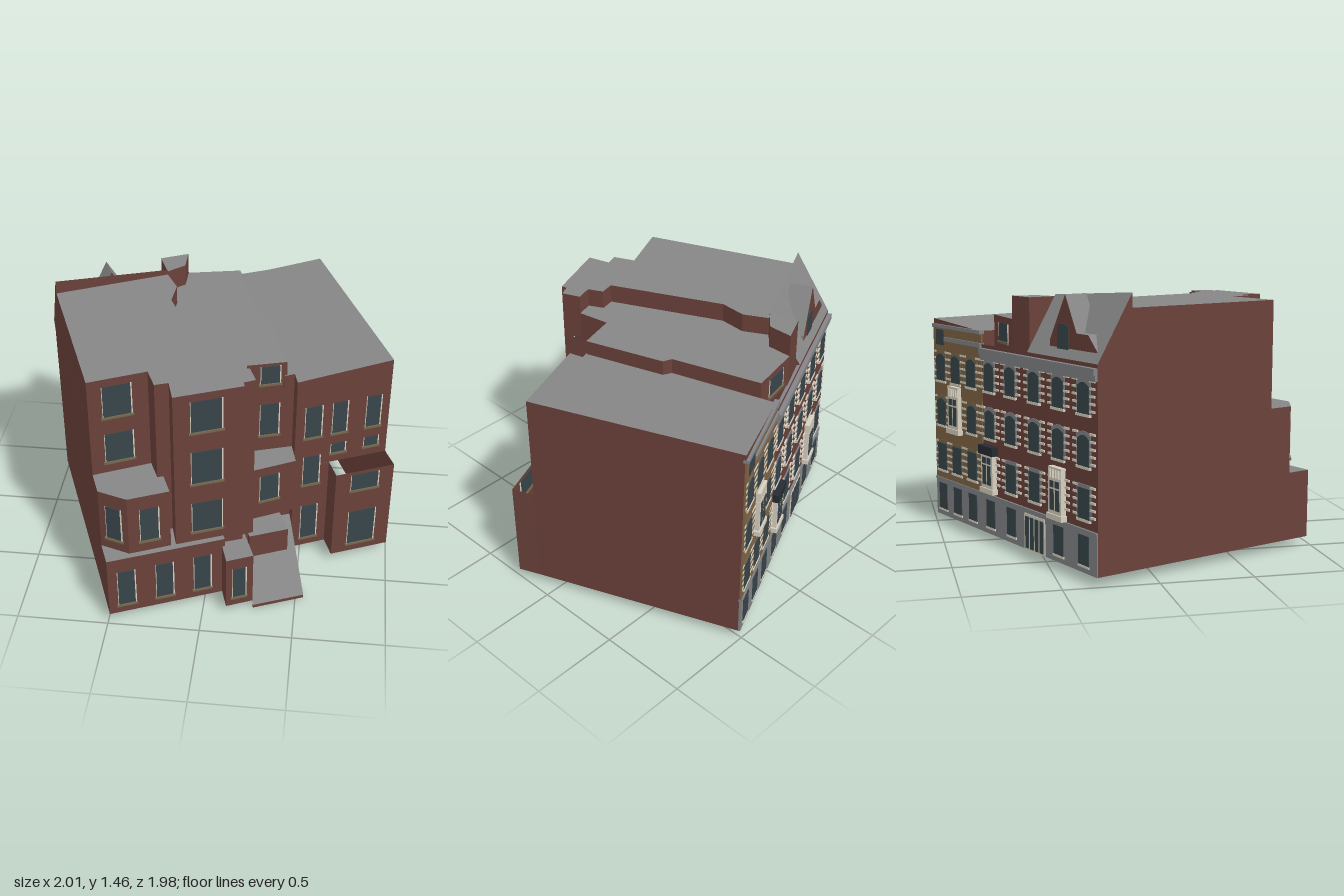
import * as THREE from 'three';

const mat = (name, color, side = THREE.FrontSide) => Object.assign(new THREE.MeshStandardMaterial({ color, side }), { name });
const M = {
  brick: mat('brick', 0x6b413a, THREE.DoubleSide),
  roof: mat('roof grey', 0x868686, THREE.DoubleSide),
  glass: mat('window glass', 0x38454a),
  cream: mat('cream trim', 0xd6d0bf),
  sill: mat('sill tan', 0x75684e),
  ochre: mat('ochre brick', 0x806545),
  stone: mat('grey stone', 0x828487),
  dark: mat('dark trim', 0x262c31),
};

export function createModel() {
  const root = new THREE.Group();
  root.name = 'building';

  const add = (parent, name, geo, material, x = 0, y = 0, z = 0) => {
    const m = new THREE.Mesh(geo, material);
    m.name = name;
    m.position.set(x, y, z);
    parent.add(m);
    return m;
  };

  // Hollow block on an [x, z] footprint: brick walls, no floor, grey roof of constant or varying height
  function prism(name, pts, y0, top, open = false) {
    let loop = pts.map(([x, z]) => new THREE.Vector2(x, -z));
    if (THREE.ShapeUtils.isClockWise(loop)) loop = loop.reverse();
    const h = typeof top === 'function' ? top : () => top;
    const lo = loop.map(v => [v.x, y0, -v.y]);
    const hi = loop.map(v => [v.x, h(v.x, -v.y), -v.y]);
    const pos = [];
    const tri = (...t) => t.forEach(v => pos.push(...v));
    loop.forEach((_, i) => {
      const j = (i + 1) % loop.length;
      tri(lo[i], lo[j], hi[j], lo[i], hi[j], hi[i]);
    });
    const walls = pos.length / 3;
    if (!open) THREE.ShapeUtils.triangulateShape(loop, []).forEach(([a, b, c]) => tri(hi[a], hi[b], hi[c]));
    const g = new THREE.BufferGeometry();
    g.setAttribute('position', new THREE.Float32BufferAttribute(pos, 3));
    g.addGroup(0, walls, 0);
    g.addGroup(walls, pos.length / 3 - walls, 1);
    g.computeVertexNormals();
    return add(root, name, g, [M.brick, M.roof]);
  }

  // Flat four-cornered face
  function quad(name, a, b, c, d, material) {
    const g = new THREE.BufferGeometry();
    g.setAttribute('position', new THREE.Float32BufferAttribute([a, b, c, a, c, d].flat(), 3));
    g.computeVertexNormals();
    return add(root, name, g, material);
  }

  // Local frame on a wall from p (left, seen from outside) to q (right); local z points outwards
  function wall(name, p, q) {
    const g = new THREE.Group();
    const dx = q[0] - p[0], dz = q[1] - p[1];
    g.name = name;
    g.position.set(p[0], 0, p[1]);
    g.rotation.y = Math.atan2(-dz, dx);
    root.add(g);
    const len = Math.hypot(dx, dz);
    return { g, len, u: x => (x - p[0]) / dx * len };
  }
  const plate = (g, name, u0, u1, y0, y1, depth, m, z = 0) =>
    add(g, name, new THREE.BoxGeometry(u1 - u0, y1 - y0, depth), m, (u0 + u1) / 2, (y0 + y1) / 2, z);

  // Plain sash windows, given by x range on the wall and a list of y ranges
  function windows(w, x0, x1, rows) {
    const [a, b] = [w.u(x0), w.u(x1)];
    for (const [y0, y1] of rows) {
      plate(w.g, 'windowGlass', a, b, y0, y1, 0.008, M.glass);
      plate(w.g, 'windowJamb', b, b + 0.007, y0, y1, 0.009, M.cream);
      plate(w.g, 'windowJamb', a - 0.003, a, y0, y1, 0.009, M.cream);
      plate(w.g, 'windowSill', a - 0.012, b + 0.012, y0 - 0.013, y0, 0.022, M.sill);
    }
  }

  // Main shell, one ring of walls per level as the lower parts step out
  const A = [-1, -0.32], B = [0.51, -0.99];
  const front = [[-0.59, 0.72], [-0.30, 0.585], [-0.25, 0.70], [-0.18, 0.675], [-0.145, 0.80],
    [0.20, 0.66], [0.19, 0.63], [0.25, 0.60]];
  const lowFoot = [[-0.59, 0.72], [-0.49, 0.98], [0.11, 0.73], [0.097, 0.70]];
  const bayFoot = [[-0.59, 0.72], [-0.54, 0.85], [-0.38, 0.90], [-0.17, 0.81], [-0.22, 0.687]];
  const recess = [[0.18, 0.33], [0.43, 0.25], [0.45, 0.33]];
  const extension = [[0.64, 0.247], [0.685, 0.365], [1, 0.23]];
  const lowLeft = [...lowFoot, ...front.slice(5)], bayLeft = [...bayFoot, ...front.slice(3)];
  [[0.05, 0.43, lowLeft, extension], [0.43, 0.625, bayLeft, extension], [0.625, 0.8, bayLeft, []], [0.8, 1.12, front, []]]
    .forEach(([y0, y1, left, ext]) => prism('shellWalls', [A, ...left, ...recess, ...ext, [0.95, 0.11], B], y0, y1, true));
  prism('lowRoof', [...lowFoot, [0.06, 0.6]], 0.425, 0.43);
  prism('bayRoof', [...bayFoot, [-0.27, 0.56]], 0.795, 0.8);

  // Upper masses at their different roof heights
  const seam = [[0.12, 0.53], [0.08, 0.45], [0, 0.47], [-0.28, -0.13], [-0.27, -0.28], [-0.34, -0.41]];
  prism('leftUpper', [[-0.925, -0.13], ...front, [0.21, 0.5], ...seam], 1.12, 1.385);
  prism('middleUpper', [...seam, [-0.25, -0.63], [0.05, -0.69], [0.2, -0.2], [0.25, -0.18], [0.39, 0.26],
    [0.18, 0.32], [0.21, 0.5]], 1.1, 1.28);
  prism('rightUpper', [B, [0.95, 0.11], [0.45, 0.33], [0.43, 0.25], [0.38, 0.27], [0.25, -0.18], [0.2, -0.2], [0.03, -0.777]],
    1.12, (x, z) => 1.2 + 0.0633 * (x - 0.45) - 0.016 * (z - 0.33));
  prism('chimneyBlock', [[-0.40, -0.56], [-0.25, -0.63], [-0.25, -0.49], [-0.34, -0.41]], 1.1, 1.405);

  // Porch, entry and ramp
  prism('porch', [[0.08, 0.68], [0.13, 0.85], [0.27, 0.79], [0.2, 0.6]], 0.05, 0.38);
  prism('entryBay', [[0.18, 0.33], [0.22, 0.5], [0.46, 0.38], [0.43, 0.25]], 0.38, 0.72);
  prism('entryLanding', [[0.18, 0.48], [0.235, 0.64], [0.44, 0.555], [0.385, 0.42]], 0.22, 0.38);
  quad('entryRamp', [0.275, 0.02, 0.795], [0.545, 0.02, 0.685], [0.44, 0.385, 0.43], [0.17, 0.385, 0.54], M.roof);
  prism('rampFoot', [[0.275, 0.795], [0.545, 0.685], [0.54, 0.675], [0.27, 0.785]], 0, 0.02);

  // Mansard at the back of the left part
  const r0 = [-0.925, 1.46, -0.13], r1 = [-0.34, 1.415, -0.41], e0 = [A[0], 1.12, A[1]], e1 = [-0.42, 1.12, -0.577];
  const f0 = [-0.925, 1.12, -0.13], f1 = [-0.34, 1.12, -0.41];
  quad('mansardSlope', e0, r0, r1, e1, M.roof);
  quad('mansardParapet', f0, f1, r1, r0, M.brick);
  quad('mansardEnd', e0, f0, r0, r0, M.brick);
  quad('mansardEnd', f1, e1, r1, r1, M.brick);

  // Front windows
  const high = [0.825, 1.025], top = [1.155, 1.34], mid = [0.5, 0.69], low = [0.11, 0.34];
  windows(wall('leftFront', front[0], front[1]), -0.52, -0.385, [[0.87, 1.045], top]);
  windows(wall('middleFront', front[4], front[5]), -0.06, 0.09, [mid, high, top]);
  windows(wall('recessFront', [0.18, 0.33], [0.43, 0.25]), 0.255, 0.352, [high, [1.16, 1.265]]);
  windows(wall('entryBayFront', [0.22, 0.5], [0.46, 0.38]), 0.275, 0.37, [[0.5, 0.665]]);
  windows(wall('porchFront', [0.13, 0.85], [0.27, 0.79]), 0.165, 0.23, [[0.11, 0.31]]);
  windows(wall('bayCheek', bayFoot[1], bayFoot[2]), -0.5, -0.42, [[0.505, 0.715]]);
  windows(wall('bayFront', bayFoot[2], bayFoot[3]), -0.32, -0.23, [[0.505, 0.715]]);
  const lowFront = wall('lowFront', lowFoot[1], lowFoot[2]);
  [-0.44, -0.245, -0.05].forEach(x => windows(lowFront, x, x + 0.085, [low]));
  const wingFront = wall('wingFront', [0.45, 0.33], [0.95, 0.11]);
  windows(wingFront, 0.5, 0.585, [low, mid, high]);
  [0.645, 0.825].forEach(x => windows(wingFront, x, x + 0.075, [[0.69, 0.75], high]));
  windows(wall('extensionFront', extension[1], extension[2]), 0.77, 0.915, [low, [0.5, 0.605]]);
  windows(wall('middleBack', [0.05, -0.69], [-0.25, -0.63]), -0.04, -0.18, [[1.145, 1.245]]);

  // Ornate street facade along the back
  const F = wall('streetFacade', B, A), g = F.g, L = F.len, split = 0.55;
  plate(g, 'stoneBase', 0, L, 0.05, 0.265, 0.012, M.stone);
  plate(g, 'ochreFront', 0, split, 0.265, 1.18, 0.01, M.ochre);
  plate(g, 'eave', 0, split, 1.175, 1.195, 0.03, M.stone);
  plate(g, 'ochreCornice', 0.14, split, 1.1, 1.125, 0.03, M.stone);
  plate(g, 'cornice', split, L, 1.065, 1.1, 0.05, M.stone);
  plate(g, 'corniceBand', split, L, 1.035, 1.065, 0.03, M.stone);
  plate(g, 'stringCourse', 0, L, 0.262, 0.278, 0.022, M.stone);

  // Shape of an opening, with an optional curved head
  function opening(w, h, rise) {
    const s = new THREE.Shape();
    s.moveTo(-w / 2, 0).lineTo(w / 2, 0).lineTo(w / 2, h - rise);
    s.quadraticCurveTo(0, h + rise, -w / 2, h - rise);
    return new THREE.ExtrudeGeometry(s, { depth: 0.004, bevelEnabled: false, curveSegments: 5 });
  }
  const columns = [0.05, 0.155, 0.262, 0.382, 0.515, 0.657, 0.794, 0.931].map(f => f * L);
  const floors = [0.33, 0.6, 0.865];
  const isBay = (c, r) => (c === 1 && r === 1) || (c === 3 && r === 0) || (c === 6 && r === 0);
  columns.forEach((u, c) => {
    if (c !== 5) {
      add(g, 'groundWindow', opening(0.09, 0.155, 0), M.glass, u, 0.09, 0.006);
      plate(g, 'groundSill', u - 0.05, u + 0.05, 0.078, 0.09, 0.024, M.cream);
    }
    floors.forEach((y, r) => {
      // Pale banding on the piers either side of the window
      for (let k = 0; k < 5; k++) for (const s of [-1, 1]) {
        const m0 = Math.max(u + s * 0.075 - 0.022, 0.004), m1 = Math.min(u + s * 0.075 + 0.022, L - 0.004);
        plate(g, 'pierBand', m0, m1, y + 0.01 + k * 0.038, y + 0.022 + k * 0.038, 0.016, M.cream);
      }
      if (isBay(c, r)) return;
      const rise = r === 0 ? 0 : 0.02;
      add(g, 'archTrim', opening(0.125, 0.18, rise), c < 3 ? M.sill : M.stone, u, y - 0.002, 0.003);
      add(g, 'facadeWindow', opening(0.1, 0.158, rise), M.glass, u, y, 0.006);
      plate(g, 'facadeSill', u - 0.06, u + 0.06, y - 0.014, y, 0.026, M.cream);
    });
  });
  add(g, 'atticWindow', opening(0.09, 0.09, 0), M.glass, columns[0], 1.075, 0.006);

  // Projecting cream window bays, with a balcony or a dark canopy
  function streetBay(u, y, canopy) {
    const b = new THREE.Group();
    b.name = 'streetBay';
    b.position.set(u, y, 0);
    g.add(b);
    plate(b, 'bayBody', -0.06, 0.06, 0, 0.2, 0.06, M.cream);
    for (const s of [-1, 1]) {
      plate(b, 'bayGlass', s * 0.025 - 0.018, s * 0.025 + 0.018, 0.03, 0.14, 0.006, M.glass, 0.03);
      plate(b, 'bayLight', s * 0.025 - 0.018, s * 0.025 + 0.018, 0.15, 0.185, 0.006, M.glass, 0.03);
    }
    plate(b, 'baySill', -0.07, 0.07, -0.02, 0.01, 0.075, M.cream);
    if (canopy) plate(b, 'bayCanopy', -0.075, 0.075, 0.2, 0.25, 0.08, M.dark);
    else {
      plate(b, 'balconyRail', -0.06, 0.06, 0.245, 0.257, 0.06, M.cream);
      for (let i = 0; i < 5; i++) plate(b, 'baluster', -0.057 + i * 0.026, -0.047 + i * 0.026, 0.2, 0.25, 0.06, M.cream);
    }
  }
  streetBay(columns[1], 0.59, false);
  streetBay(columns[3], 0.31, true);
  streetBay(columns[6], 0.3, false);

  // Entrance doors
  const d = columns[5];
  plate(g, 'doorFrame', d - 0.1, d + 0.1, 0.05, 0.25, 0.02, M.cream);
  for (let i = 0; i < 4; i++) plate(g, 'doorPanel', d - 0.087 + i * 0.047, d - 0.054 + i * 0.047, 0.06, 0.235, 0.026, M.glass);

  // Gabled dormer with a brick shoulder, standing in the mansard
  const gable = new THREE.Shape();
  gable.moveTo(-0.12, 1.1).lineTo(0.33, 1.1).lineTo(0.33, 1.14).lineTo(0.22, 1.25);
  gable.lineTo(0.12, 1.25).lineTo(0.02, 1.44).lineTo(-0.12, 1.2);
  const dormer = new THREE.ExtrudeGeometry(gable, { depth: 0.13, bevelEnabled: false });
  add(g, 'dormer', dormer, [M.brick, M.roof], columns[6], 0, -0.16);
  add(g, 'dormerWindow', opening(0.1, 0.16, 0.01), M.glass, columns[6], 1.13, -0.03);

  return root;
}
